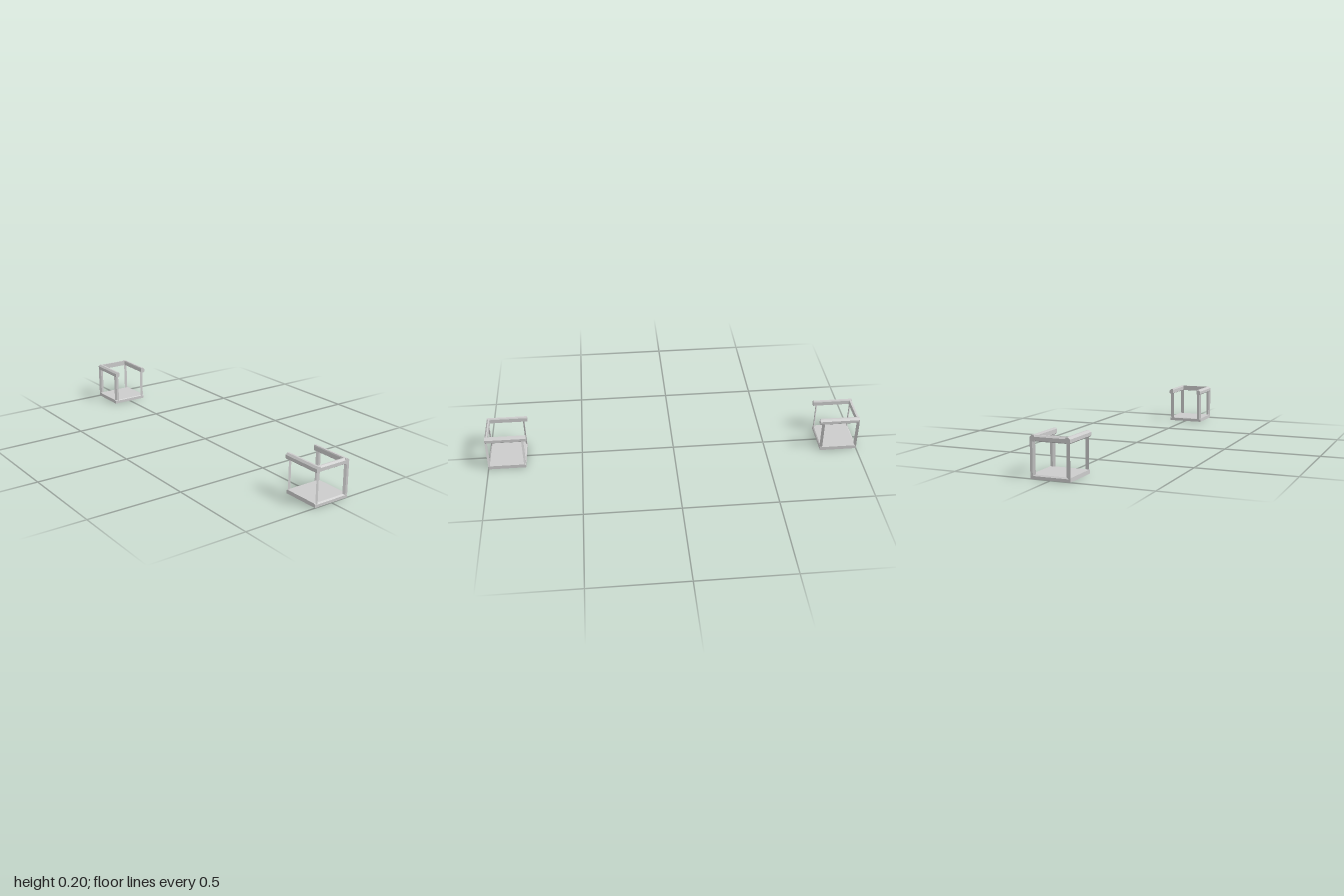
import * as THREE from 'three';

const material = new THREE.MeshStandardMaterial({ color: 0xcccccc, side: THREE.DoubleSide });

// Straight bar with the given cross-section, starting at z = 0.
function prism(points, length) {
  const shape = new THREE.Shape(points.map(([x, y]) => new THREE.Vector2(x, y)));
  return new THREE.ExtrudeGeometry(shape, { depth: length, bevelEnabled: false });
}

function add(group, name, geometry) {
  const mesh = new THREE.Mesh(geometry, material);
  mesh.name = name;
  group.add(mesh);
}

// Open-sided frame whose closed rail faces +z.
function createFrame(name) {
  const frame = new THREE.Group();
  frame.name = name;

  // Base slab, cross-section in (-z, y), swept along x
  const base = prism([[-1, 0], [-0.8, 0], [-0.8, 0.016], [-0.805, 0.02], [-0.992, 0.02], [-1, 0.014]], 0.2);
  add(frame, 'base', base.rotateY(Math.PI / 2).translate(-0.1, 0, 0));

  // Cross rail on the closed side
  const cross = prism([[-0.992, 0.17], [-1, 0.175], [-1, 0.192], [-0.992, 0.2], [-0.984, 0.2], [-0.984, 0.172]], 0.18);
  add(frame, 'crossRail', cross.rotateY(Math.PI / 2).translate(-0.09, 0, 0));

  for (const s of [-1, 1]) {
    const side = s > 0 ? 'left' : 'right';

    // Side rail with chamfered outer top edge, overhanging the open side
    const rail = prism([[0.1, 0.175], [0.1, 0.191], [0.09, 0.2], [0.08, 0.2], [0.077, 0.195], [0.077, 0.174], [0.083, 0.17], [0.095, 0.17]]
      .map(([x, y]) => [s * x, y]), 0.215);
    add(frame, side + 'SideRail', rail.translate(0, 0, 0.785));

    // Slim slanted posts at both ends of the side
    for (const z of [1, 0.81]) {
      const post = prism([[0.1, 0], [0.088, 0.001], [0.077, 0.009], [0.09, 0.009]]
        .map(([x, d]) => [s * x, d - z]), 0.165);
      add(frame, side + (z === 1 ? 'ClosedEndPost' : 'OpenEndPost'), post.rotateX(-Math.PI / 2).translate(0, 0.012, 0));
    }
  }
  return frame;
}

export function createModel() {
  const model = new THREE.Group();
  model.name = 'framePair';
  const front = createFrame('frontFrame');
  const back = createFrame('backFrame');
  back.rotation.y = Math.PI;
  model.add(front, back);
  return model;
}
